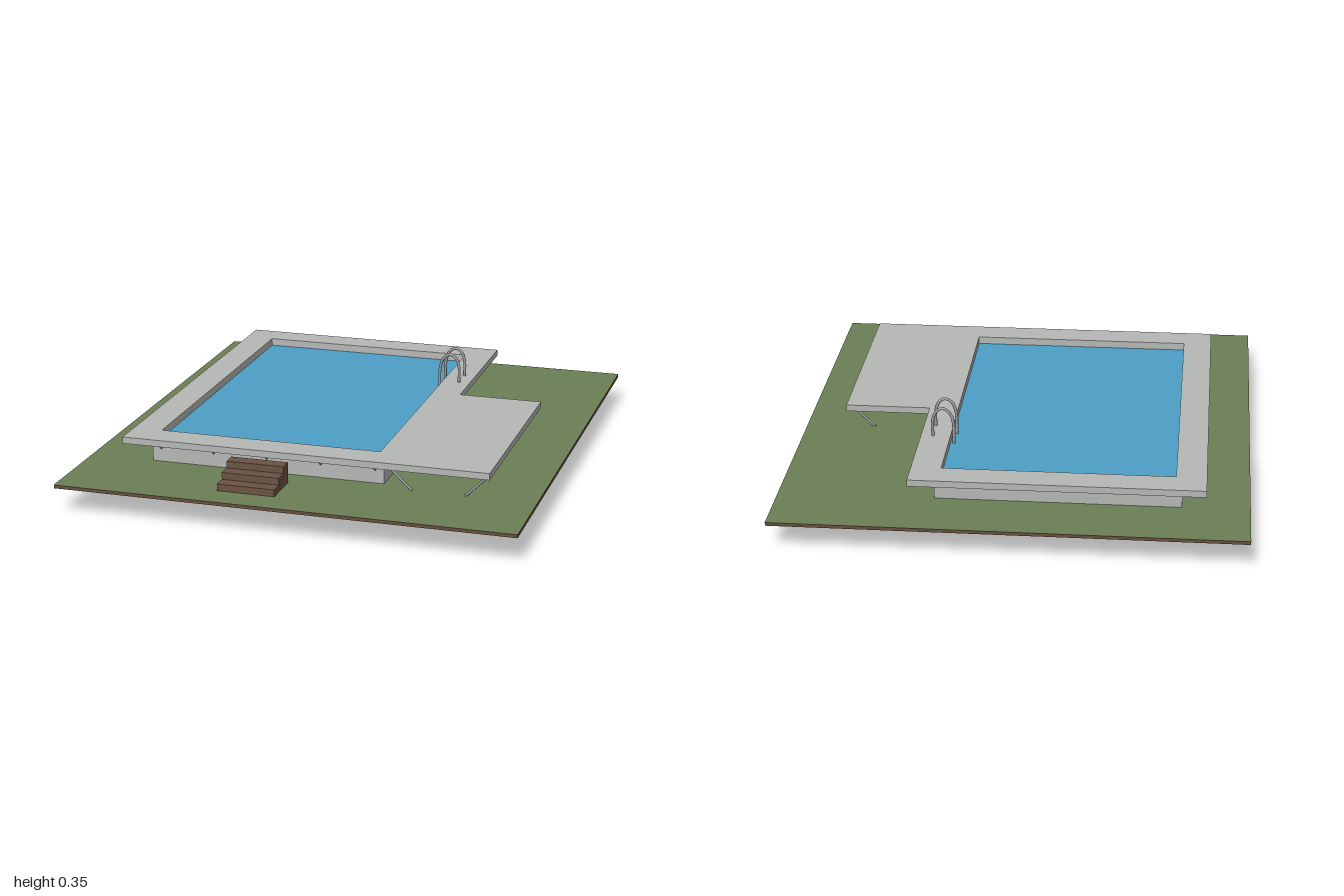
import * as THREE from 'three';

const mat = (name, color, side = THREE.FrontSide) => {
  const m = new THREE.MeshStandardMaterial({ color, side });
  m.name = name;
  return m;
};

export function createModel() {
  const grass = mat('grass green', 0x6b7f55);
  const soil = mat('soil brown', 0x66503d);
  const wood = mat('step brown', 0x6b5342);
  const concrete = mat('concrete grey', 0xb6b8b6);
  const metal = mat('metal grey', 0x9a9c9e);
  const water = mat('water blue', 0x4d9fc6, THREE.DoubleSide);
  const floorBlue = mat('pool floor blue', 0x2f67a0, THREE.DoubleSide);

  const model = new THREE.Group();
  model.name = 'swimmingPool';

  const add = (parent, name, geometry, material) => {
    const mesh = new THREE.Mesh(geometry, material);
    mesh.name = name;
    parent.add(mesh);
    return mesh;
  };
  const group = (name) => {
    const g = new THREE.Group();
    g.name = name;
    model.add(g);
    return g;
  };

  // Outlines are given as [x, z]; shapes are laid flat with y up
  const flat = (points) => points.map(([x, z]) => new THREE.Vector2(x, -z));
  const rect = (x0, x1, z0, z1) => [[x0, z0], [x0, z1], [x1, z1], [x1, z0]];
  const pool = rect(-0.61, 0.27, -0.72, 0.6);
  const outline = (points, hole) => {
    const shape = new THREE.Shape(flat(points));
    if (hole) shape.holes.push(new THREE.Path(flat(hole)));
    return shape;
  };
  const slab = (shape, y0, y1) =>
    new THREE.ExtrudeGeometry(shape, { depth: y1 - y0, bevelEnabled: false })
      .rotateX(-Math.PI / 2).translate(0, y0, 0);
  const sheet = (shape, y) =>
    new THREE.ShapeGeometry(shape).rotateX(-Math.PI / 2).translate(0, y, 0);

  // Ground with an opening for the pool
  const lot = outline(rect(-0.89, 0.89, -1, 1), pool);
  add(model, 'soil', slab(lot, 0.1, 0.113), soil);
  add(model, 'lawn', sheet(lot, 0.114), grass);

  // Basin: floor, walls and water surface
  add(model, 'poolFloor', sheet(outline(pool), 0), floorBlue);
  add(model, 'poolWalls', slab(outline(rect(-0.635, 0.295, -0.745, 0.635), pool), 0.113, 0.202), concrete);
  add(model, 'waterSurface', sheet(outline(pool), 0.198), water);

  // L-shaped deck around the pool
  const deckOutline = [[-0.725, -0.835], [-0.725, 0.72], [0.72, 0.72],
    [0.72, -0.17], [0.385, -0.17], [0.385, -0.835]];
  add(model, 'deck', slab(outline(deckOutline, pool), 0.202, 0.228), concrete);

  // Steps
  const steps = group('steps');
  for (let i = 0; i < 3; i++) {
    const top = 0.195 - i * 0.027;
    const step = add(steps, 'step', new THREE.BoxGeometry(0.225, top - 0.113, 0.0535), wood);
    step.position.set(-0.168, (top + 0.113) / 2, 0.752 + i * 0.0535);
  }

  // Straight round bar between two points
  const bar = (parent, name, a, b, r) => {
    const from = new THREE.Vector3(...a);
    const dir = new THREE.Vector3(...b).sub(from);
    const mesh = add(parent, name, new THREE.CylinderGeometry(r, r, dir.length(), 8), metal);
    mesh.position.copy(from).addScaledVector(dir, 0.5);
    mesh.quaternion.setFromUnitVectors(new THREE.Vector3(0, 1, 0), dir.normalize());
  };

  // Short braces from the walls to the deck rim
  const braces = group('wallBraces');
  for (let i = 0; i < 5; i++) {
    const x = -0.6 + i * 0.215;
    bar(braces, 'brace', [x, 0.166, -0.742], [x, 0.205, -0.795], 0.004);
    bar(braces, 'brace', [x, 0.166, 0.632], [x, 0.205, 0.685], 0.004);
  }
  for (let i = 0; i < 7; i++) {
    const z = -0.705 + i * 0.2175;
    bar(braces, 'brace', [-0.632, 0.166, z], [-0.685, 0.205, z], 0.004);
    if (i < 3) bar(braces, 'brace', [0.292, 0.166, z], [0.345, 0.205, z], 0.004);
  }

  // Long struts under the wide side of the deck
  const struts = group('deckStruts');
  for (let i = 0; i < 4; i++) {
    const z = 0.67 - i * 0.26;
    bar(struts, 'strut', [0.415, 0.11, z], [0.315, 0.205, z], 0.005);
    bar(struts, 'strut', [0.615, 0.11, z], [0.71, 0.205, z], 0.005);
  }

  // Ladder: two bent rails joined by rungs
  const ladder = group('ladder');
  const railPoints = [[0.338, 0.22], [0.338, 0.29], [0.325, 0.328], [0.3, 0.343], [0.274, 0.328],
    [0.259, 0.29], [0.256, 0.2], [0.254, 0.1], [0.255, 0.045], [0.259, 0.031], [0.27, 0.027]];
  for (const z of [-0.335, -0.43]) {
    const path = new THREE.CatmullRomCurve3(railPoints.map(([x, y]) => new THREE.Vector3(x, y, z)));
    add(ladder, 'rail', new THREE.TubeGeometry(path, 48, 0.006, 8), metal);
  }
  for (const y of [0.08, 0.13, 0.18]) bar(ladder, 'rung', [0.254, y, -0.43], [0.254, y, -0.335], 0.005);

  return model;
}
